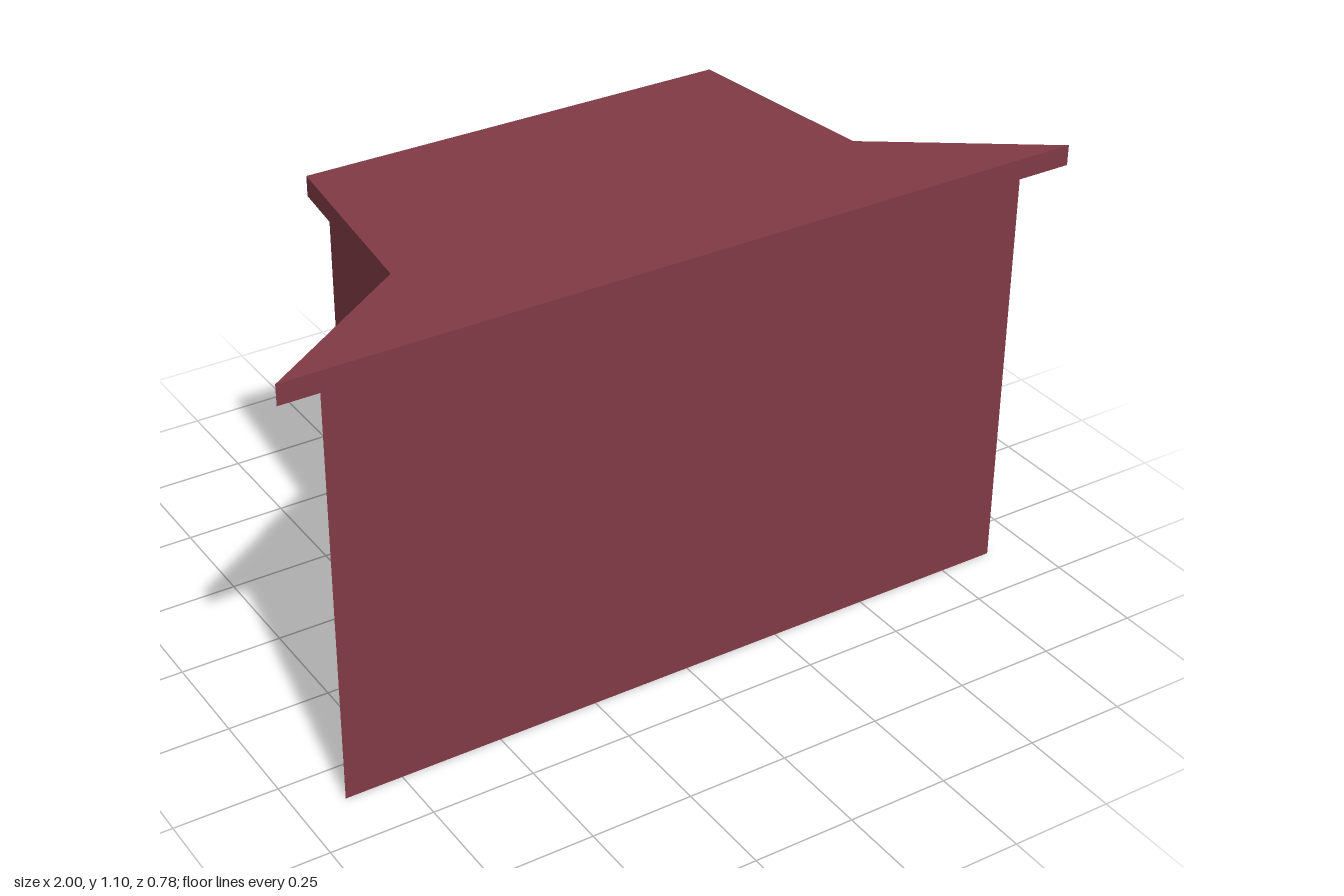
import * as THREE from 'three';

const BODY_HEIGHT = 1.05;
const LID_THICKNESS = 0.05;

// Mirrors the right half [x, z], listed front to back, into a closed outline.
function mirrorOutline(half) {
  return [...half, ...half.map(([x, z]) => [-x, z]).reverse()];
}

// Open upright walls following an outline, facing outward.
function wallGeometry(outline, height) {
  const positions = [];
  outline.forEach(([ax, az], i) => {
    const [bx, bz] = outline[(i + 1) % outline.length];
    positions.push(ax, 0, az, bx, 0, bz, bx, height, bz);
    positions.push(ax, 0, az, bx, height, bz, ax, height, az);
  });
  const geometry = new THREE.BufferGeometry();
  geometry.setAttribute('position', new THREE.Float32BufferAttribute(positions, 3));
  geometry.computeVertexNormals();
  return geometry;
}

// Solid horizontal slab with the given outline.
function slabGeometry(outline, thickness) {
  const shape = new THREE.Shape(outline.map(([x, z]) => new THREE.Vector2(x, -z)));
  const geometry = new THREE.ExtrudeGeometry(shape, { depth: thickness, bevelEnabled: false });
  return geometry.rotateX(-Math.PI / 2);
}

export function createModel() {
  const group = new THREE.Group();
  group.name = 'counter';

  const maroon = new THREE.MeshStandardMaterial({ color: 0x803a45, side: THREE.DoubleSide });
  maroon.name = 'maroon';

  // Hollow body, open underneath, with flared front wings
  const bodyOutline = mirrorOutline([[0.89, 0.358], [0.563, 0.132], [0.505, -0.358]]);
  const body = new THREE.Mesh(wallGeometry(bodyOutline, BODY_HEIGHT), maroon);
  body.name = 'bodyWalls';
  group.add(body);

  // Overhanging top slab
  const topOutline = mirrorOutline([[1, 0.39], [0.597, 0.112], [0.54, -0.39]]);
  const top = new THREE.Mesh(slabGeometry(topOutline, LID_THICKNESS), maroon);
  top.name = 'counterTop';
  top.position.y = BODY_HEIGHT;
  group.add(top);

  return group;
}
